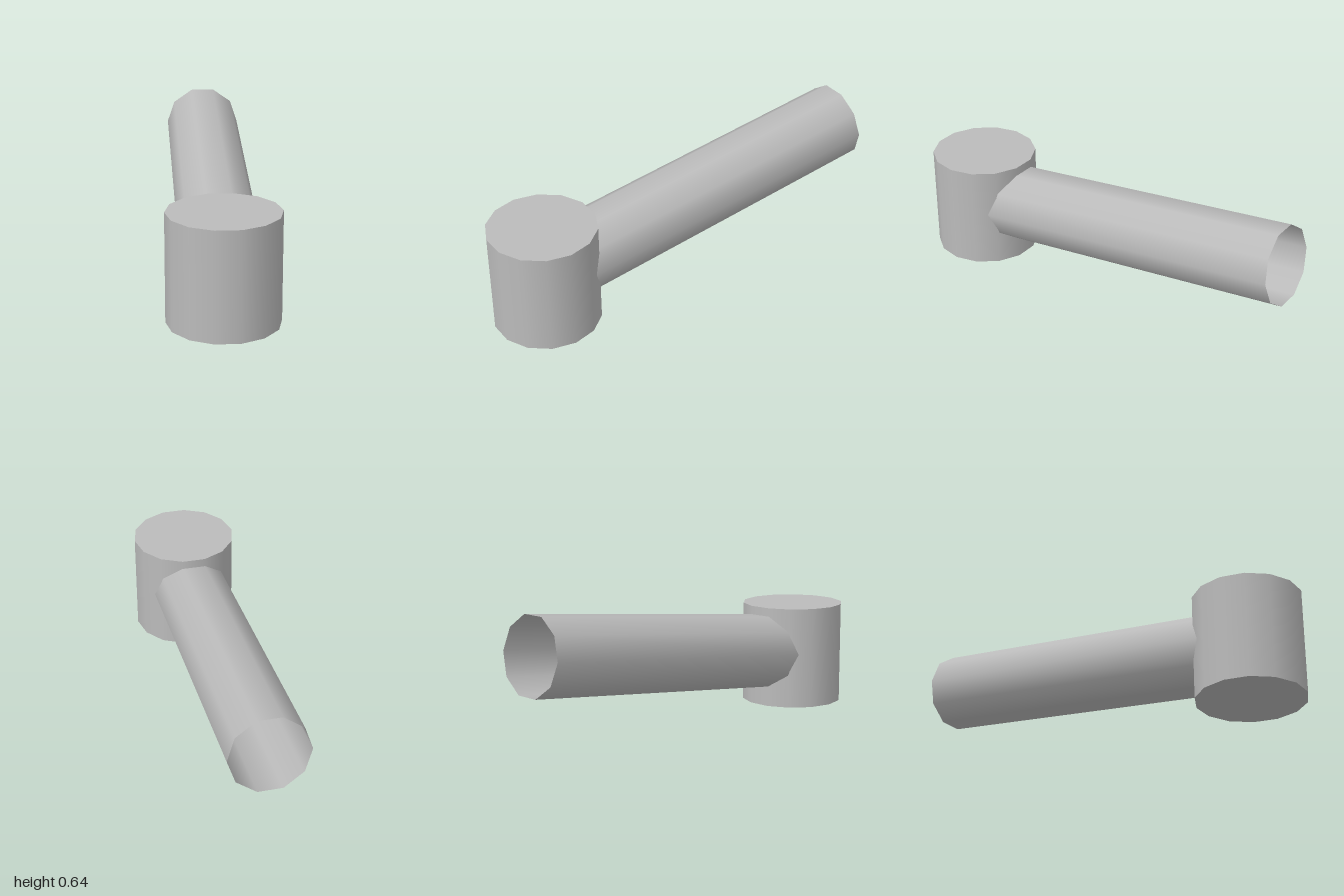
import * as THREE from 'three';

export function createModel() {
  const model = new THREE.Group();
  model.name = 'mallet';

  const grey = new THREE.MeshStandardMaterial({ color: 0xbbbbbb, side: THREE.DoubleSide });
  grey.name = 'grey';

  // Upright closed drum, a corner pointing to each side
  const headHeight = 0.505;
  const headZ = 0.75;
  const head = new THREE.Mesh(
    new THREE.CylinderGeometry(0.256, 0.256, headHeight, 14, 1, false, Math.PI / 2), grey);
  head.name = 'head';
  head.position.set(0, headHeight / 2, headZ);
  model.add(head);

  // Open tube running back and slightly upward from the middle of the head
  const tilt = 0.1185;
  const length = 1.74;
  const tube = new THREE.CylinderGeometry(0.188, 0.188, length, 10, 1, true, Math.PI / 2);
  tube.translate(0, length / 2, 0);
  const handle = new THREE.Mesh(tube, grey);
  handle.name = 'handle';
  handle.position.set(0, headHeight / 2, headZ);
  handle.rotation.x = tilt - Math.PI / 2;
  model.add(handle);

  return model;
}
